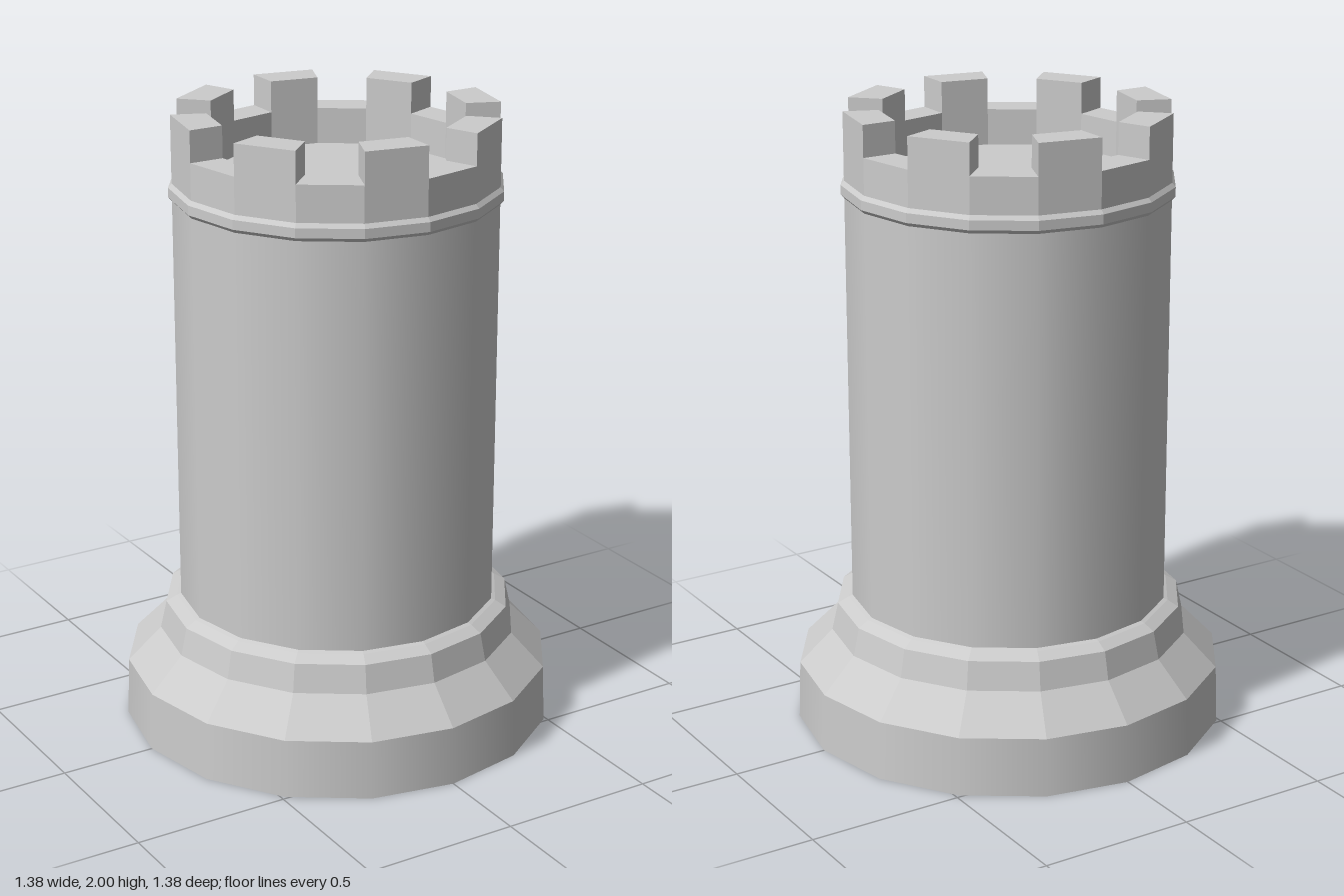
import * as THREE from 'three';

const SIDES = 16;
const smooth = new THREE.MeshStandardMaterial({ color: 0xcccccc, side: THREE.DoubleSide });
const flat = new THREE.MeshStandardMaterial({ color: 0xcccccc, side: THREE.DoubleSide, flatShading: true });

// Sixteen-sided shell from a profile of [radius, height] pairs
function shell(name, profile, material) {
  const points = profile.map(([r, y]) => new THREE.Vector2(r, y));
  const mesh = new THREE.Mesh(new THREE.LatheGeometry(points, SIDES), material);
  mesh.name = name;
  return mesh;
}

// Point on the ring at side corner i
function corner(r, y, i) {
  const a = (i / SIDES) * Math.PI * 2;
  return [r * Math.sin(a), y, r * Math.cos(a)];
}

// Thick wall whose sides alternate between gap height and merlon height
function battlements(inner, outer, floorY, gapY, topY) {
  const positions = [];
  const quad = (a, b, c, d) => positions.push(...a, ...b, ...c, ...a, ...c, ...d);
  for (let i = 0; i < SIDES; i++) {
    const j = i + 1;
    const merlon = i % 2 === 1;
    const h = merlon ? topY : gapY;
    // outer face, inner face and top
    quad(corner(outer, floorY, i), corner(outer, floorY, j), corner(outer, h, j), corner(outer, h, i));
    quad(corner(inner, floorY, j), corner(inner, floorY, i), corner(inner, h, i), corner(inner, h, j));
    quad(corner(outer, h, i), corner(outer, h, j), corner(inner, h, j), corner(inner, h, i));
    // two upright ends of each merlon
    if (merlon) {
      quad(corner(inner, gapY, i), corner(outer, gapY, i), corner(outer, topY, i), corner(inner, topY, i));
      quad(corner(outer, gapY, j), corner(inner, gapY, j), corner(inner, topY, j), corner(outer, topY, j));
    }
  }
  const geometry = new THREE.BufferGeometry();
  geometry.setAttribute('position', new THREE.Float32BufferAttribute(positions, 3));
  geometry.computeVertexNormals();
  const mesh = new THREE.Mesh(geometry, flat);
  mesh.name = 'battlements';
  return mesh;
}

export function createModel() {
  const tower = new THREE.Group();
  tower.name = 'tower';

  // Open, hollow foot and its stepped slope
  tower.add(shell('footBand', [[0.692, 0], [0.685, 0.19]], smooth));
  tower.add(shell('footSlope', [[0.685, 0.19], [0.578, 0.3], [0.558, 0.39], [0.523, 0.41], [0.51, 0.415]], flat));

  // Shaft and the thin collar around its top
  tower.add(shell('shaft', [[0.51, 0.415], [0.51, 1.785]], smooth));
  tower.add(shell('collar', [[0.51, 1.73], [0.521, 1.742], [0.521, 1.772], [0.51, 1.785]], flat));

  // Roof floor sunk inside the crenellated wall
  tower.add(shell('roofFloor', [[0.4, 1.785], [0, 1.785]], flat));
  tower.add(battlements(0.4, 0.51, 1.785, 1.9, 2));

  return tower;
}
